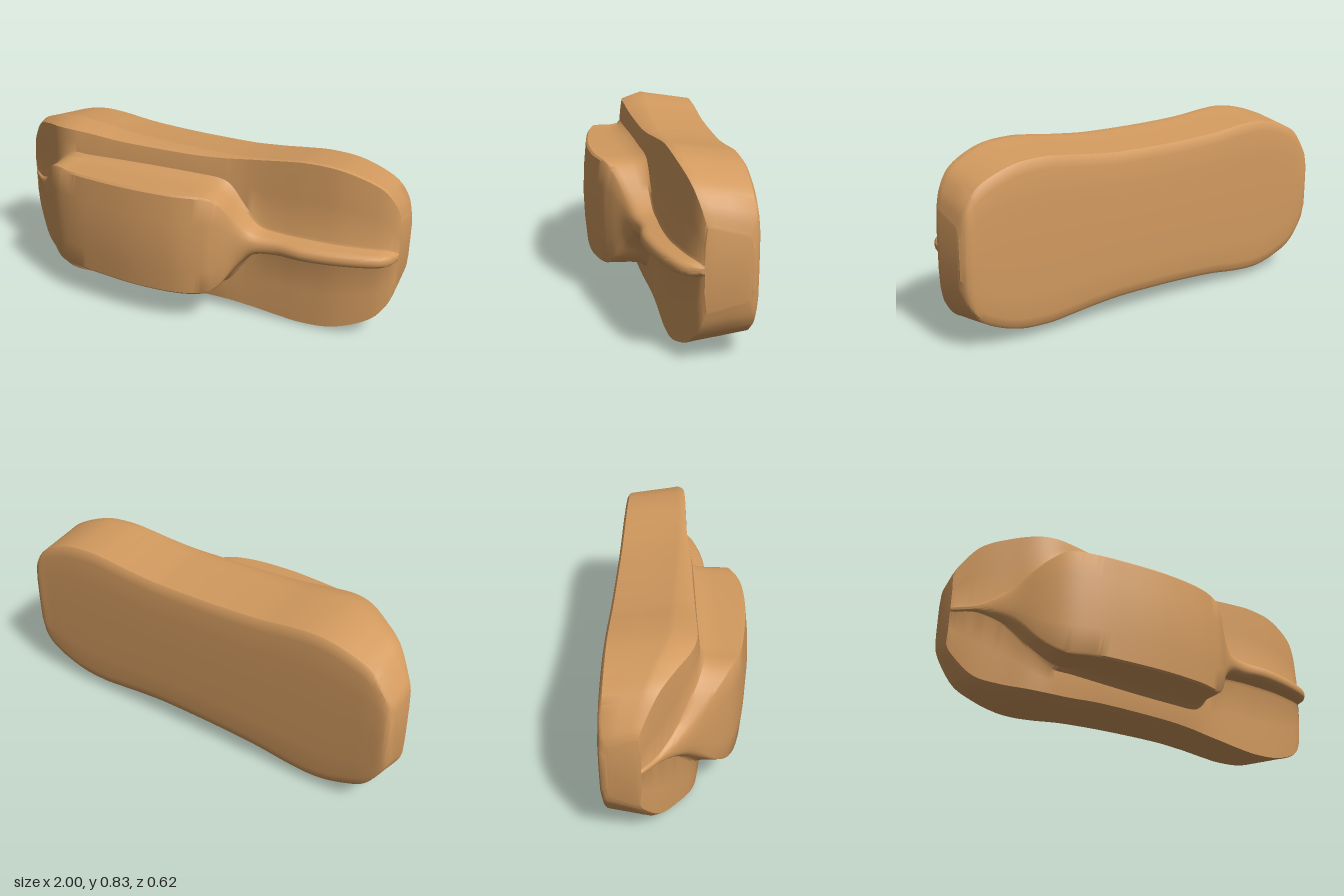
import * as THREE from 'three';
import { toCreasedNormals } from 'three/addons/utils/BufferGeometryUtils.js';

const MID = 0.418; // height of the long axis

// Stations along x: x, body half height, z of widest line, z of front rim,
// ridge half width, ridge front z, back z
const STATIONS = [
  [-1.00, 0.170, -0.155, -0.145, 0.010, -0.135, -0.280],
  [-0.98, 0.220, -0.145, -0.130, 0.012, -0.115, -0.306],
  [-0.90, 0.330, -0.105, -0.070, 0.020, -0.045, -0.310],
  [-0.80, 0.380, -0.070, -0.005, 0.080, 0.060, -0.310],
  [-0.70, 0.408, -0.035, 0.055, 0.190, 0.170, -0.310],
  [-0.61, 0.416, -0.015, 0.078, 0.248, 0.238, -0.310],
  [-0.50, 0.409, -0.012, 0.075, 0.250, 0.275, -0.310],
  [-0.35, 0.391, -0.008, 0.066, 0.252, 0.297, -0.310],
  [-0.15, 0.380, -0.003, 0.055, 0.254, 0.310, -0.310],
  [0.05, 0.376, 0.000, 0.045, 0.253, 0.295, -0.310],
  [0.18, 0.376, 0.003, 0.033, 0.246, 0.252, -0.310],
  [0.24, 0.378, 0.004, 0.026, 0.212, 0.215, -0.310],
  [0.31, 0.383, 0.005, 0.020, 0.120, 0.160, -0.310],
  [0.38, 0.389, 0.005, 0.016, 0.058, 0.126, -0.310],
  [0.48, 0.400, 0.004, 0.012, 0.043, 0.104, -0.310],
  [0.60, 0.409, -0.002, 0.007, 0.040, 0.110, -0.310],
  [0.75, 0.395, -0.015, -0.006, 0.038, 0.086, -0.310],
  [0.90, 0.335, -0.050, -0.043, 0.034, 0.040, -0.310],
  [0.97, 0.255, -0.080, -0.074, 0.028, -0.005, -0.309],
  [1.00, 0.170, -0.105, -0.098, 0.012, -0.075, -0.280],
];

// Catmull-Rom blend of the station rows
function sample(t) {
  const n = STATIONS.length - 1;
  const i = Math.min(Math.floor(t), n - 1), f = t - i;
  const row = k => STATIONS[Math.max(0, Math.min(n, k))];
  const [a, b, c, d] = [row(i - 1), row(i), row(i + 1), row(i + 2)];
  return b.map((p, k) => {
    const m0 = (c[k] - a[k]) / 2, m1 = (d[k] - p) / 2, q = c[k];
    return p + m0 * f + (3 * (q - p) - 2 * m0 - m1) * f * f
      + (2 * (p - q) + m0 + m1) * f * f * f;
  });
}

// Closed cross-section [y, z], from the back middle over the upper half and round
function section([, h, side, rim, w, top, back]) {
  const bevel = 0.35 * (rim - side);
  const rise = top - rim;
  const flare = Math.min(0.025, rise * 0.2);
  const edge = h - bevel;
  const box = THREE.MathUtils.smoothstep(w, 0.05, 0.2); // 0 = rounded fin, 1 = flat-topped block
  const mix = (fin, block) => fin + (block - fin) * box;
  const half = [
    [0, back], [h * 0.5, back + 0.001], [h - 0.09, back + 0.005],
    [h - 0.055, back + 0.011], [h - 0.04, back + 0.022],
    [h - 0.022, back + (side - back) * 0.5], [h - 0.006, side - 0.03],
    [h, side], [edge, rim],
    [edge + (w + flare - edge) * 0.5, rim + 0.008],
    [w + flare, rim + flare * 0.5],
    [w + flare * 0.3, rim + rise * 0.16],
    [w, rim + rise * 0.4],
    [w * mix(0.92, 1), rim + rise * mix(0.65, 0.75)],
    [w * mix(0.8, 0.995), top - rise * mix(0.18, 0.1)],
    [w * mix(0.6, 0.96), top - rise * mix(0.08, 0.065)],
    [w * mix(0.35, 0.5), top - rise * mix(0.02, 0.02)],
    [0, top],
  ];
  const mirrored = half.slice(1, -1).reverse().map(([y, z]) => [-y, z]);
  return [...half, ...mirrored];
}

// Skin the sections and close both flat ends
function buildShell() {
  const positions = [], indices = [];
  const steps = 6 * (STATIONS.length - 1);
  let n = 0;
  for (let s = 0; s <= steps; s++) {
    const row = sample(s / 6);
    const x = THREE.MathUtils.clamp(row[0], -1, 1);
    const loop = section(row);
    n = loop.length;
    loop.forEach(([y, z]) => positions.push(x, MID + y, z));
  }
  for (let s = 0; s < steps; s++) {
    for (let k = 0; k < n; k++) {
      const a = s * n + k, b = s * n + (k + 1) % n;
      indices.push(a, b, a + n, b, b + n, a + n);
    }
  }
  // End caps: strips between the upper and lower halves
  const last = steps * n;
  for (let k = 0; k < n / 2; k++) {
    const a = k, b = k + 1, c = (n - k - 1) % n, d = (n - k) % n;
    indices.push(a, c, b, a, d, c);
    indices.push(last + a, last + b, last + c, last + a, last + c, last + d);
  }
  const geometry = new THREE.BufferGeometry();
  geometry.setAttribute('position', new THREE.Float32BufferAttribute(positions, 3));
  geometry.setIndex(indices);
  return toCreasedNormals(geometry, 0.6);
}

export function createModel() {
  const group = new THREE.Group();
  group.name = 'ridgedBlock';
  const material = new THREE.MeshStandardMaterial({ color: 0xd29a5f, side: THREE.DoubleSide });
  const body = new THREE.Mesh(buildShell(), material);
  body.name = 'bodyWithRidge';
  group.add(body);
  return group;
}
